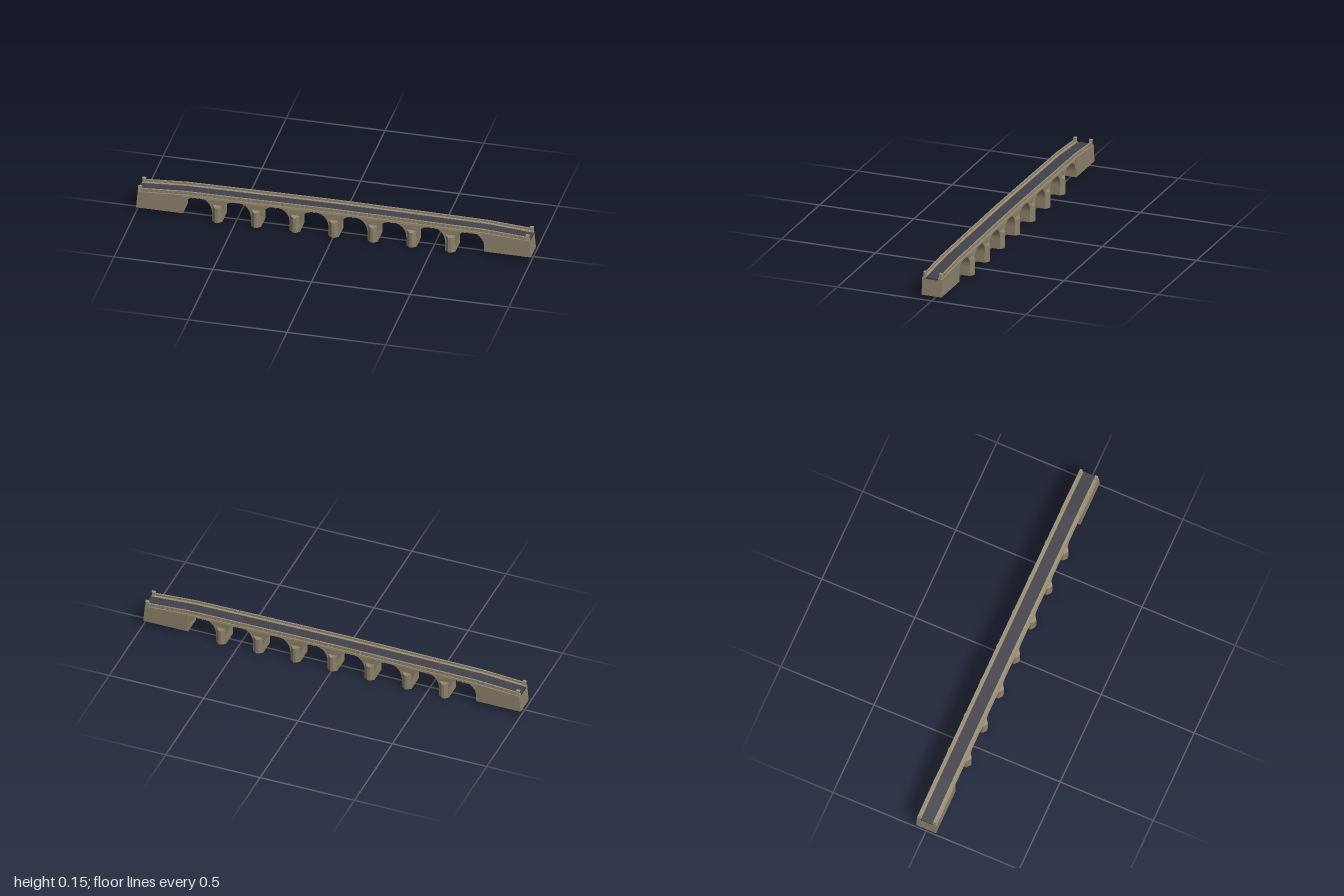
import * as THREE from 'three';

const mat = (name, color) => {
  const m = new THREE.MeshStandardMaterial({ color });
  m.name = name;
  return m;
};

// Road height: a gentle crown with ramps down to both ends
const PROFILE = [[0, 0.139], [0.3, 0.137], [0.76, 0.133], [1, 0.117]];
function deckY(x) {
  const a = Math.abs(x);
  for (let i = 1; i < PROFILE.length; i++) {
    const [x0, y0] = PROFILE[i - 1], [x1, y1] = PROFILE[i];
    if (a <= x1 + 1e-6) return y0 + (y1 - y0) * (a - x0) / (x1 - x0);
  }
  return 0.117;
}

const PITCH = 0.197, PIER = 0.026, R = PITCH / 2 - PIER, SPRING = 0.0525;

export function createModel() {
  const bridge = new THREE.Group();
  bridge.name = 'archBridge';
  const stone = mat('stone', 0x8c806a);
  const trim = mat('paleStone', 0x9c9077);
  const asphalt = mat('asphalt', 0x42424a);

  const add = (name, geo, material) => {
    const m = new THREE.Mesh(geo, material);
    m.name = name;
    bridge.add(m);
    return m;
  };
  const extrudeZ = (shape, z0, z1, curveSegments = 12) => {
    const g = new THREE.ExtrudeGeometry(shape, { depth: z1 - z0, bevelEnabled: false, curveSegments });
    return g.translate(0, 0, z0);
  };
  // Strip following the road profile between two offsets from it
  const ribbon = (name, z0, z1, lo, hi, x1, material) => {
    const xs = [-x1, -0.76, -0.3, 0, 0.3, 0.76, x1];
    const pts = xs.map(x => new THREE.Vector2(x, deckY(x) + lo));
    xs.reverse().forEach(x => pts.push(new THREE.Vector2(x, deckY(x) + hi)));
    return add(name, extrudeZ(new THREE.Shape(pts), z0, z1), material);
  };

  // Main body: eight arches cut out between the pier shafts
  const body = new THREE.Shape();
  body.moveTo(-0.775, SPRING);
  for (let i = 0; i < 8; i++) {
    const c = (i - 3.5) * PITCH;
    body.lineTo(c - R, SPRING);
    body.absarc(c, SPRING, R, Math.PI, 0, true);
  }
  body.lineTo(0.775, SPRING);
  for (const x of [0.775, 0.76, 0.3, 0, -0.3, -0.76, -0.775]) body.lineTo(x, deckY(x) - 0.004);
  add('archWall', extrudeZ(body, -0.047, 0.047, 20), stone);

  // Arch rings standing slightly proud of both faces
  for (let i = 0; i < 8; i++) {
    const ring = new THREE.Shape();
    ring.absarc(0, 0, R + 0.008, 0, Math.PI, false);
    ring.absarc(0, 0, R, Math.PI, 0, true);
    for (const s of [-1, 1]) {
      const z = s * 0.0472;
      add('archRing', extrudeZ(ring, z - 0.0015, z + 0.0015, 20), stone)
        .position.set((i - 3.5) * PITCH, SPRING, 0);
    }
  }

  // Piers with pointed cutwaters and sloping caps
  const nose = (z, w, y0, y1) => [[-w, y0, z], [w, y0, z], [w, y1, z], [-w, y1, z]];
  function cutwater() {
    const a = nose(0.046, PIER, 0, 0.092), b = nose(0.062, 0.007, 0, 0.083);
    const v = [];
    const quad = (p, q, r, s) => v.push(...p, ...q, ...r, ...p, ...r, ...s);
    quad(...b);
    for (let i = 0; i < 4; i++) {
      const j = (i + 1) % 4;
      quad(a[i], a[j], b[j], b[i]);
    }
    const g = new THREE.BufferGeometry();
    g.setAttribute('position', new THREE.Float32BufferAttribute(v, 3));
    g.computeVertexNormals();
    return g;
  }
  for (let i = -3; i <= 3; i++) {
    const x = i * PITCH;
    add('pierShaft', new THREE.BoxGeometry(PIER * 2, SPRING, 0.094), stone)
      .position.set(x, SPRING / 2, 0);
    for (const s of [0, 1]) {
      const c = add('cutwater', cutwater(), stone);
      c.position.x = x;
      c.rotation.y = s * Math.PI;
    }
  }

  // Solid abutments with slightly leaning end walls
  for (const s of [-1, 1]) {
    const p = [[0.762, 0.025], [1, 0.025], [0.992, 0.115], [0.762, 0.128]];
    const shape = new THREE.Shape(p.map(([x, y]) => new THREE.Vector2(s * x, y)));
    add('abutment', extrudeZ(shape, -0.053, 0.053), stone);
  }

  // Roadway, footways, cornices and parapets
  ribbon('roadway', -0.032, 0.032, -0.008, 0, 0.995, asphalt);
  for (const s of [-1, 1]) {
    const side = (name, a, b, lo, hi, x1, m) =>
      ribbon(name, Math.min(s * a, s * b), Math.max(s * a, s * b), lo, hi, x1, m);
    side('footway', 0.031, 0.044, -0.008, 0.003, 0.992, trim);
    side('cornice', 0.043, 0.0515, -0.014, -0.003, 0.992, trim);
    side('parapet', 0.042, 0.047, -0.004, 0.012, 0.99, stone);
    side('coping', 0.0415, 0.048, 0.012, 0.015, 0.99, trim);

    // Parapet pilasters and dentils below the cornice
    for (let i = -38; i <= 38; i++) {
      const x = i * 0.0246;
      add('parapetPilaster', new THREE.BoxGeometry(0.005, 0.015, 0.0065), trim)
        .position.set(x, deckY(x) + 0.0045, s * 0.0447);
      if (Math.abs(x) < 0.75) {
        add('dentil', new THREE.BoxGeometry(0.006, 0.004, 0.004), stone)
          .position.set(x, deckY(x) - 0.0155, s * 0.0485);
      }
    }

    // End posts
    for (const e of [-1, 1]) {
      add('endPost', new THREE.BoxGeometry(0.016, 0.03, 0.012), trim)
        .position.set(e * 0.982, 0.126, s * 0.0415);
      add('endPostCap', new THREE.BoxGeometry(0.019, 0.003, 0.015), trim)
        .position.set(e * 0.982, 0.1425, s * 0.0415);
    }
  }
  return bridge;
}
